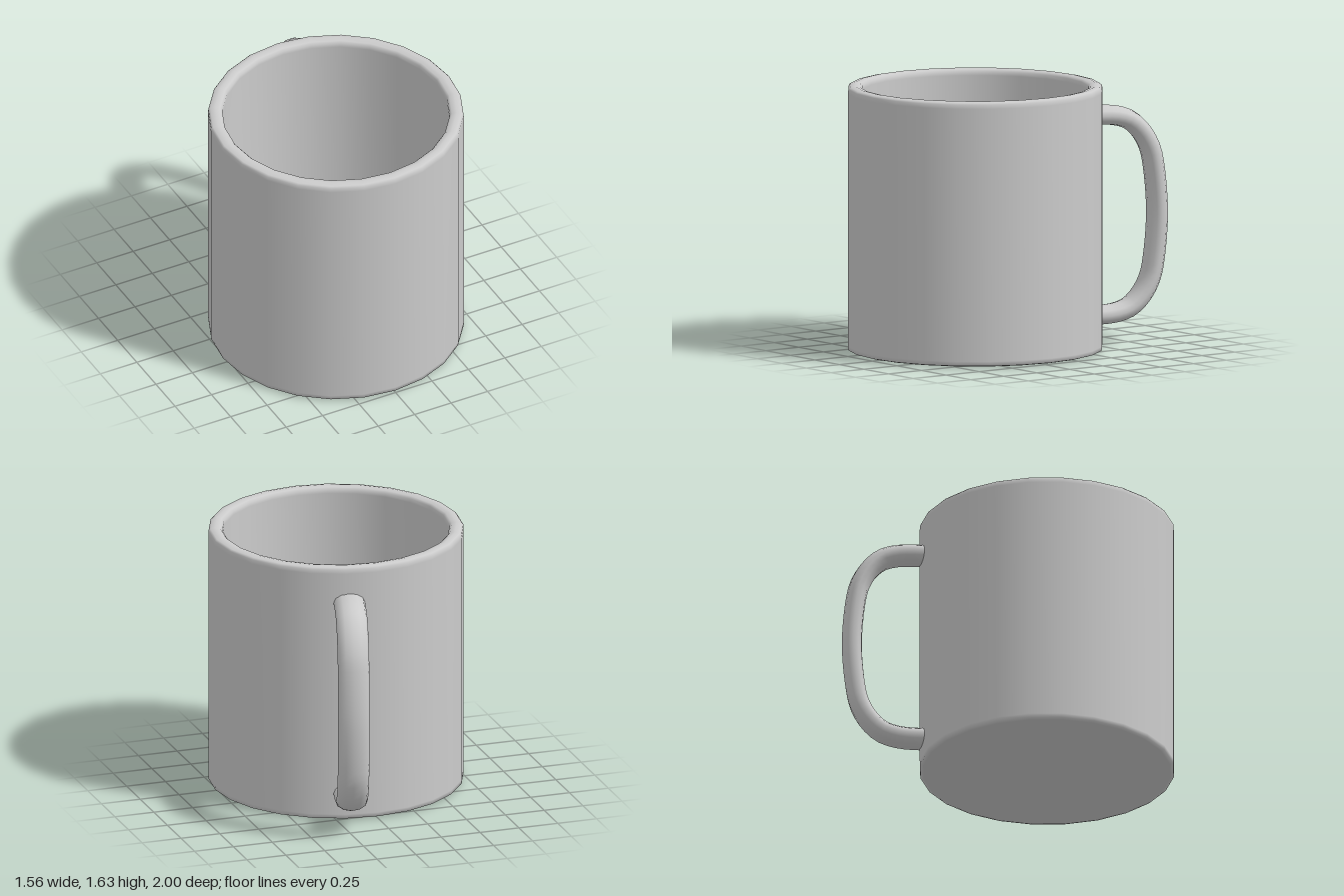
import * as THREE from 'three';

const material = new THREE.MeshStandardMaterial({ color: 0xcccccc });
const v2 = ([r, y]) => new THREE.Vector2(r, y);

// Cup wall, rim and floor as one turned profile: underside, outside, rim, inside, floor
function createCup() {
  const profile = [
    [0, 0], [0.6, 0.003], [0.755, 0.008], [0.776, 0.014], [0.778, 0.04],
    [0.778, 1.59], [0.776, 1.615], [0.765, 1.626], [0.735, 1.632], [0.705, 1.626],
    [0.692, 1.612], [0.69, 1.59],
    [0.69, 0.18], [0.675, 0.13], [0.63, 0.1], [0.57, 0.09], [0, 0.09],
  ].map(v2);
  const cup = new THREE.Mesh(new THREE.LatheGeometry(profile, 24), material);
  cup.name = 'cup';
  cup.position.z = 0.222;
  return cup;
}

// Handle: a C-shaped tube, wider than it is thick, with its ends sunk in the wall
function createHandle() {
  const middle = 0.787, thickness = 0.061, width = 0.096;
  const upper = [
    [0.05, 0.613], [-0.06, 0.613], [-0.14, 0.605], [-0.23, 0.575],
    [-0.31, 0.50], [-0.365, 0.40], [-0.39, 0.29],
  ];
  const lower = upper.map(([z, y]) => [z, -y]).reverse();
  const points = [...upper, [-0.413, 0], ...lower].map(([z, y]) => new THREE.Vector3(0, y, z));
  const path = new THREE.CatmullRomCurve3(points, false, 'centripetal');
  const geometry = new THREE.TubeGeometry(path, 40, thickness, 12);
  geometry.scale(width / thickness, 1, 1);

  const handle = new THREE.Group();
  handle.name = 'handle';
  const grip = new THREE.Mesh(geometry, material);
  grip.name = 'handleGrip';
  handle.add(grip);

  // End caps buried in the wall
  for (const side of [1, -1]) {
    const cap = new THREE.Mesh(new THREE.CircleGeometry(thickness, 12), material);
    cap.name = side > 0 ? 'upperHandleEnd' : 'lowerHandleEnd';
    cap.scale.x = width / thickness;
    cap.position.set(0, side * 0.613, 0.05);
    handle.add(cap);
  }
  handle.position.set(0.18, middle, -0.54);
  handle.rotation.y = THREE.MathUtils.degToRad(-15.5);
  return handle;
}

export function createModel() {
  const mug = new THREE.Group();
  mug.name = 'mug';
  mug.add(createCup(), createHandle());
  return mug;
}
